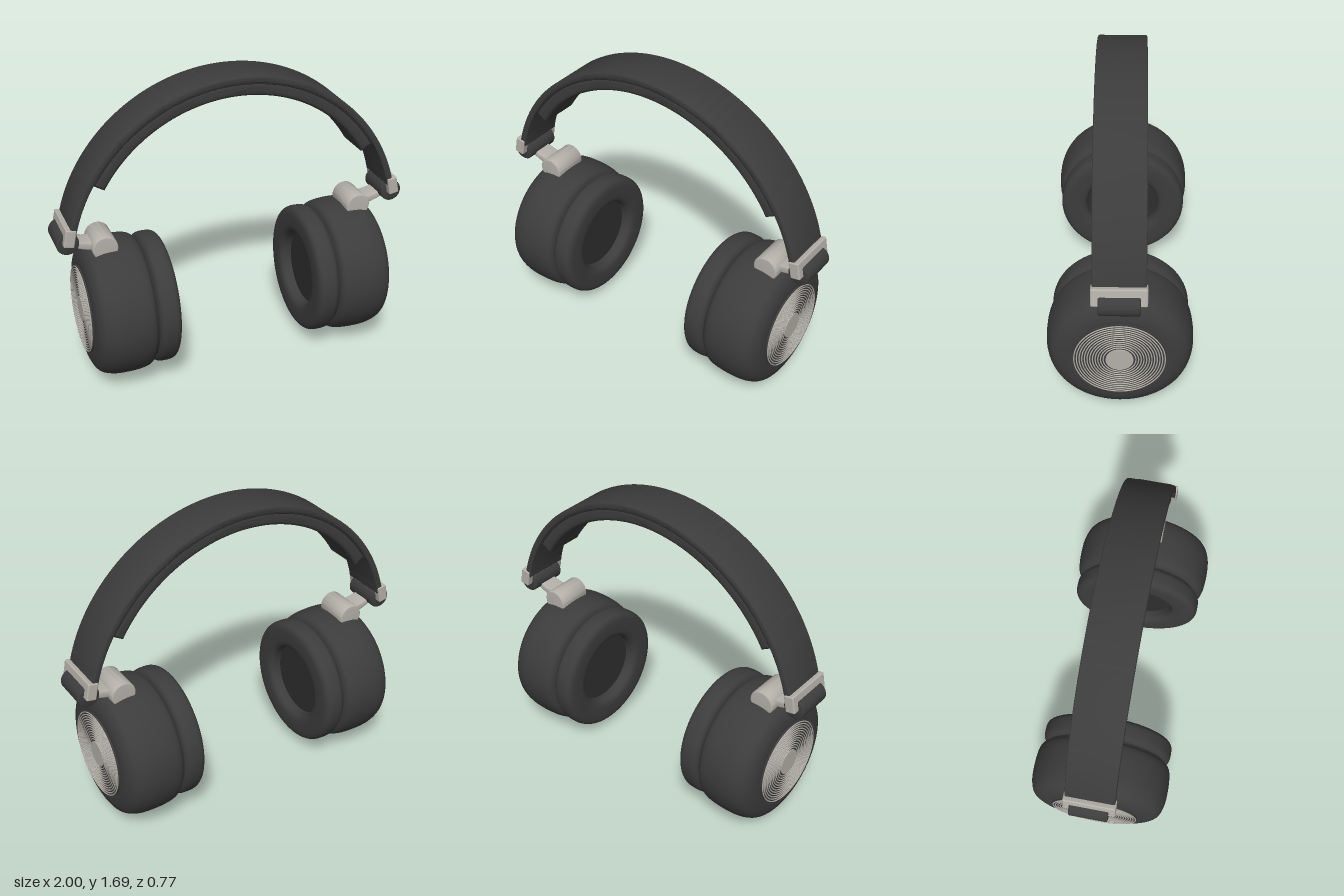
import * as THREE from 'three';
import { toCreasedNormals } from 'three/addons/utils/BufferGeometryUtils.js';
import { RoundedBoxGeometry } from 'three/addons/geometries/RoundedBoxGeometry.js';

const material = (name, color) => {
  const m = new THREE.MeshStandardMaterial({ color });
  m.name = name;
  return m;
};

export function createModel() {
  const dark = material('charcoal', 0x3c3c3c);
  const cloth = material('speaker cloth', 0x2e2e2e);
  const metal = material('satin metal', 0xb4b0a9);

  const model = new THREE.Group();
  model.name = 'headphones';

  const add = (parent, name, geometry, mat, x = 0, y = 0, z = 0) => {
    const mesh = new THREE.Mesh(geometry, mat);
    mesh.name = name;
    mesh.position.set(x, y, z);
    parent.add(mesh);
    return mesh;
  };

  // Bevelled extrusion centred on z = 0
  const slab = (shape, width, bevel, curveSegments = 24) => {
    const g = new THREE.ExtrudeGeometry(shape, {
      depth: width - 2 * bevel, bevelEnabled: true, bevelThickness: bevel, bevelSize: bevel,
      bevelOffset: -bevel, bevelSegments: 4, curveSegments,
    });
    g.translate(0, 0, -width / 2 + bevel);
    return toCreasedNormals(g, 0.6);
  };

  // Arched strip between two radii, ending at an angle above horizontal
  const arch = (rIn, rOut, start, width, bevel) => {
    const s = new THREE.Shape();
    s.absarc(0, 0, rOut, start, Math.PI - start, false);
    s.absarc(0, 0, rIn, Math.PI - start, start, true);
    s.closePath();
    return slab(s, width, bevel, 72);
  };

  // Headband, its cushion and the piping between them
  const bandY = 0.728;
  add(model, 'headband', arch(0.92, 0.957, 0.22, 0.268, 0.008), dark, 0, bandY);
  add(model, 'headbandCushion', arch(0.847, 0.924, 0.53, 0.25, 0.022), dark, 0, bandY);
  for (const z of [-0.122, 0.122]) {
    const piping = new THREE.TorusGeometry(0.917, 0.006, 8, 90, Math.PI - 1.08);
    piping.rotateZ(0.54);
    add(model, 'headbandPiping', piping, cloth, 0, bandY, z);
  }

  // Surface of revolution around the x axis, from [radius, x] points
  const turned = (points) => new THREE.LatheGeometry(points, 72).rotateZ(-Math.PI / 2);
  const cylinderX = (r, length) => new THREE.CylinderGeometry(r, r, length, 64).rotateZ(-Math.PI / 2);
  const cylinderZ = (r, length) => {
    const s = new THREE.Shape().absarc(0, 0, r, 0, Math.PI * 2);
    return slab(s, length, 0.008, 32);
  };

  // One side, built towards +x
  const makeSide = (name) => {
    const side = new THREE.Group();
    side.name = name;
    const cy = 0.415;

    // Ear cup shell
    const cupCurve = new THREE.SplineCurve([
      [0.32, 0.53], [0.362, 0.545], [0.381, 0.59], [0.387, 0.68], [0.381, 0.76],
      [0.357, 0.82], [0.31, 0.85], [0.26, 0.86],
    ].map(([r, x]) => new THREE.Vector2(r, x)));
    add(side, 'earCup', turned([
      new THREE.Vector2(0, 0.53), ...cupCurve.getPoints(40), new THREE.Vector2(0, 0.862),
    ]), dark, 0, cy);

    // Ring cushion with a squarish, rounded section
    const ring = [];
    for (let i = 0; i <= 40; i++) {
      const a = -Math.PI / 2 + (i / 40) * Math.PI * 2;
      const soft = (v) => Math.sign(v) * Math.pow(Math.abs(v), 0.6);
      ring.push(new THREE.Vector2(0.288 + 0.079 * soft(Math.cos(a)), 0.462 + 0.064 * soft(Math.sin(a))));
    }
    add(side, 'earCushion', turned(ring), dark, 0, cy + 0.002);
    add(side, 'cushionNeck', cylinderX(0.335, 0.05), cloth, 0.515, cy);
    add(side, 'speakerCloth', cylinderX(0.225, 0.04), cloth, 0.485, cy);

    // Grille of concentric rings around a metal cap
    add(side, 'grilleBase', cylinderX(0.243, 0.01), dark, 0.863, cy);
    for (let i = 0; i < 12; i++) {
      const g = new THREE.TorusGeometry(0.085 + i * 0.0138, 0.0036, 6, 72).rotateY(Math.PI / 2);
      add(side, 'grilleRing', g, metal, 0.871, cy);
    }
    add(side, 'grilleCap', cylinderX(0.072, 0.014), metal, 0.868, cy);

    // Socket under the cup
    add(side, 'socketCollar', new THREE.CylinderGeometry(0.04, 0.034, 0.03, 32), dark, 0.72, 0.032);
    add(side, 'socket', new THREE.CylinderGeometry(0.03, 0.03, 0.04, 32), dark, 0.72, 0.02);

    // Knuckle, swing arm, hinge barrel and headband clip
    add(side, 'knuckle', cylinderZ(0.07, 0.2), metal, 0.738, 0.81);
    const arm = new THREE.Shape();
    arm.moveTo(0.76, 0.79);
    arm.quadraticCurveTo(0.84, 0.79, 0.92, 0.835);
    arm.lineTo(0.92, 0.875);
    arm.quadraticCurveTo(0.85, 0.835, 0.76, 0.84);
    arm.closePath();
    add(side, 'swingArm', slab(arm, 0.11, 0.008), metal);
    add(side, 'hingeBarrel', cylinderZ(0.061, 0.21), dark, 0.939, 0.876);
    const clip = add(side, 'headbandClip', new RoundedBoxGeometry(0.058, 0.1, 0.282, 3, 0.008), metal, 0.932, 0.922);
    clip.rotation.z = 0.19;
    return side;
  };

  // The sides match under a half turn
  model.add(makeSide('leftSide'));
  const right = makeSide('rightSide');
  right.rotation.y = Math.PI;
  model.add(right);
  return model;
}
